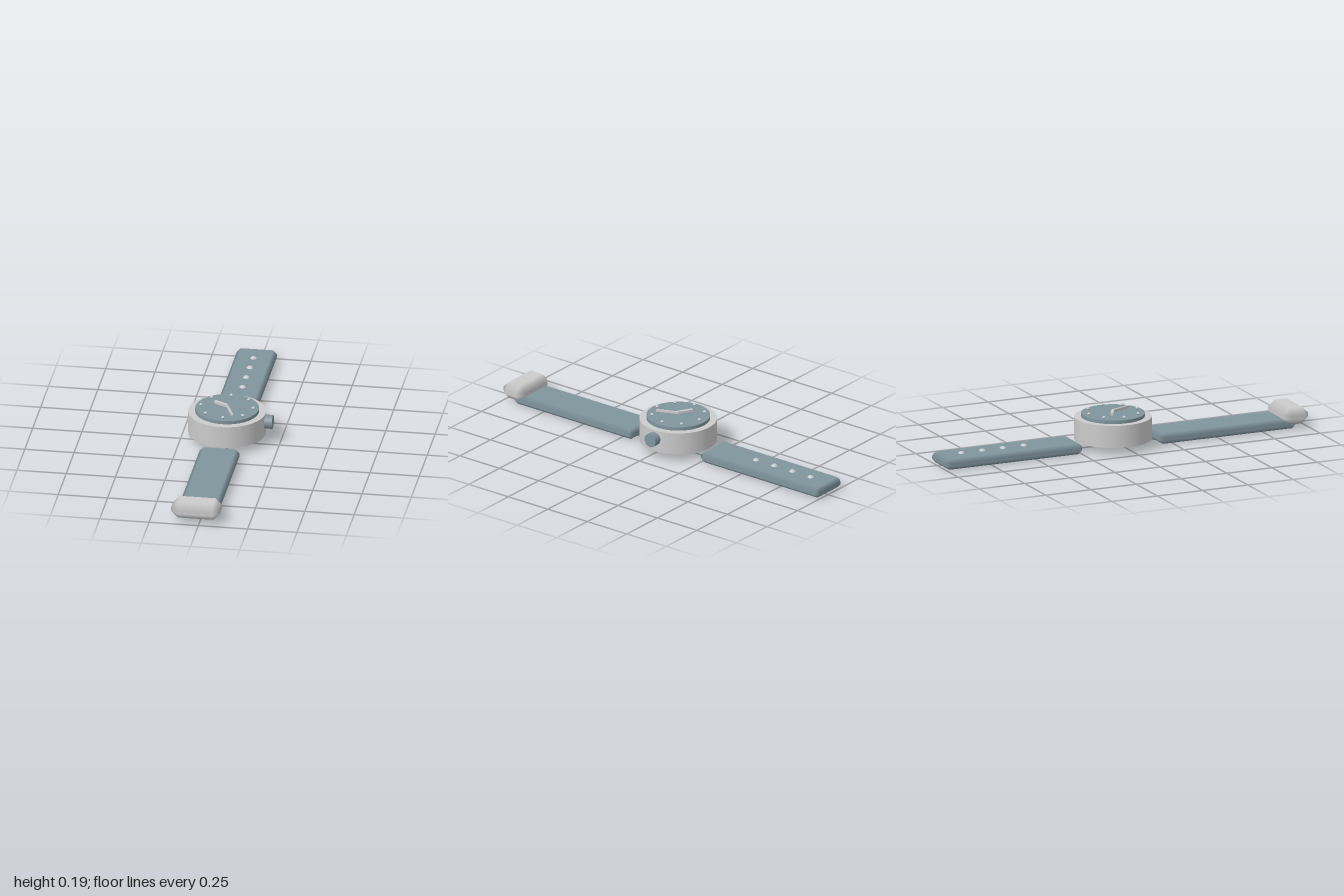
import * as THREE from 'three';
import { ConvexGeometry } from 'three/addons/geometries/ConvexGeometry.js';

const CX = -0.02, CZ = -0.037; // centre of the watch case

const metal = new THREE.MeshStandardMaterial({ color: 0xcccccc });
const blue = new THREE.MeshStandardMaterial({ color: 0x80959e });

function add(parent, name, geometry, material, x = 0, y = 0, z = 0) {
  const mesh = new THREE.Mesh(geometry, material);
  mesh.name = name;
  mesh.position.set(x, y, z);
  parent.add(mesh);
  return mesh;
}

// Box with 45 degree chamfers: flat main faces, shading blended across the bevels
function chamferBox(w, h, d, bevel) {
  const half = [w / 2, h / 2, d / 2];
  const points = [];
  for (let axis = 0; axis < 3; axis++)
    for (const sx of [-1, 1]) for (const sy of [-1, 1]) for (const sz of [-1, 1]) {
      const p = [sx, sy, sz].map((s, i) => s * (half[i] - (i === axis ? 0 : bevel)));
      points.push(new THREE.Vector3(...p));
    }
  const geo = new ConvexGeometry(points);
  const pos = geo.attributes.position, normal = geo.attributes.normal;
  for (let i = 0; i < pos.count; i++) {
    const p = [pos.getX(i), pos.getY(i), pos.getZ(i)];
    normal.setXYZ(i, ...p.map((v, k) => (Math.abs(v) > half[k] - bevel / 2 ? Math.sign(v) : 0)));
  }
  return geo;
}

// Small round stud with chamfered rims
function stud(radius, height) {
  const h = height / 2, inner = radius * 0.5, rim = height * 0.12;
  const profile = [[0, -h], [inner, -h], [radius, -rim], [radius, rim], [inner, h], [0, h]];
  return new THREE.LatheGeometry(profile.map(([x, y]) => new THREE.Vector2(x, y)), 20);
}

export function createModel() {
  const watch = new THREE.Group();
  watch.name = 'wristwatch';

  // Case, dial and crown
  add(watch, 'case', new THREE.CylinderGeometry(0.195, 0.195, 0.115, 72), metal, CX, 0.095, CZ);
  add(watch, 'dial', new THREE.CylinderGeometry(0.16, 0.16, 0.03, 72), blue, CX, 0.155, CZ);
  const crown = add(watch, 'crown', new THREE.CylinderGeometry(0.035, 0.035, 0.07, 32), blue, 0.177, 0.108, CZ);
  crown.rotation.z = Math.PI / 2;

  // Hour markers around the dial
  const markers = new THREE.Group();
  markers.name = 'hourMarkers';
  markers.position.set(CX, 0.178, CZ);
  const markerGeo = stud(0.0085, 0.013);
  for (let i = 0; i < 8; i++) {
    const a = (i * Math.PI) / 4;
    add(markers, 'hourMarker', markerGeo, metal, 0.133 * Math.sin(a), 0, 0.133 * Math.cos(a));
  }
  watch.add(markers);

  // Hands, each running out from the dial centre
  const hands = [
    ['hourHand', -0.066, -0.036, 0.018, 0.18, 0.018],
    ['minuteHand', 0.044, 0.104, 0.013, 0.179, 0.015],
  ];
  for (const [name, dx, dz, width, y, height] of hands) {
    const length = Math.hypot(dx, dz) + width / 2;
    const hand = add(watch, name, chamferBox(width, height, length, 0.004), metal,
      CX + dx / 2, y, CZ + dz / 2);
    hand.rotation.y = Math.atan2(dx, dz);
  }

  // Two strap halves
  const strapGeo = chamferBox(0.203, 0.055, 0.755, 0.02);
  add(watch, 'frontStrap', strapGeo, blue, CX, 0.0275, 0.558);
  add(watch, 'backStrap', strapGeo, blue, CX, 0.0275, -0.6225);

  // Studs marking the strap holes
  const holeGeo = stud(0.017, 0.02);
  for (let i = 0; i < 4; i++)
    add(watch, 'strapHole', holeGeo, metal, CX, 0.0535, -0.53 - i * 0.115);

  // Buckle at the end of the front strap
  add(watch, 'buckle', chamferBox(0.248, 0.087, 0.14, 0.035), metal, CX, 0.0645, 0.93);

  return watch;
}
